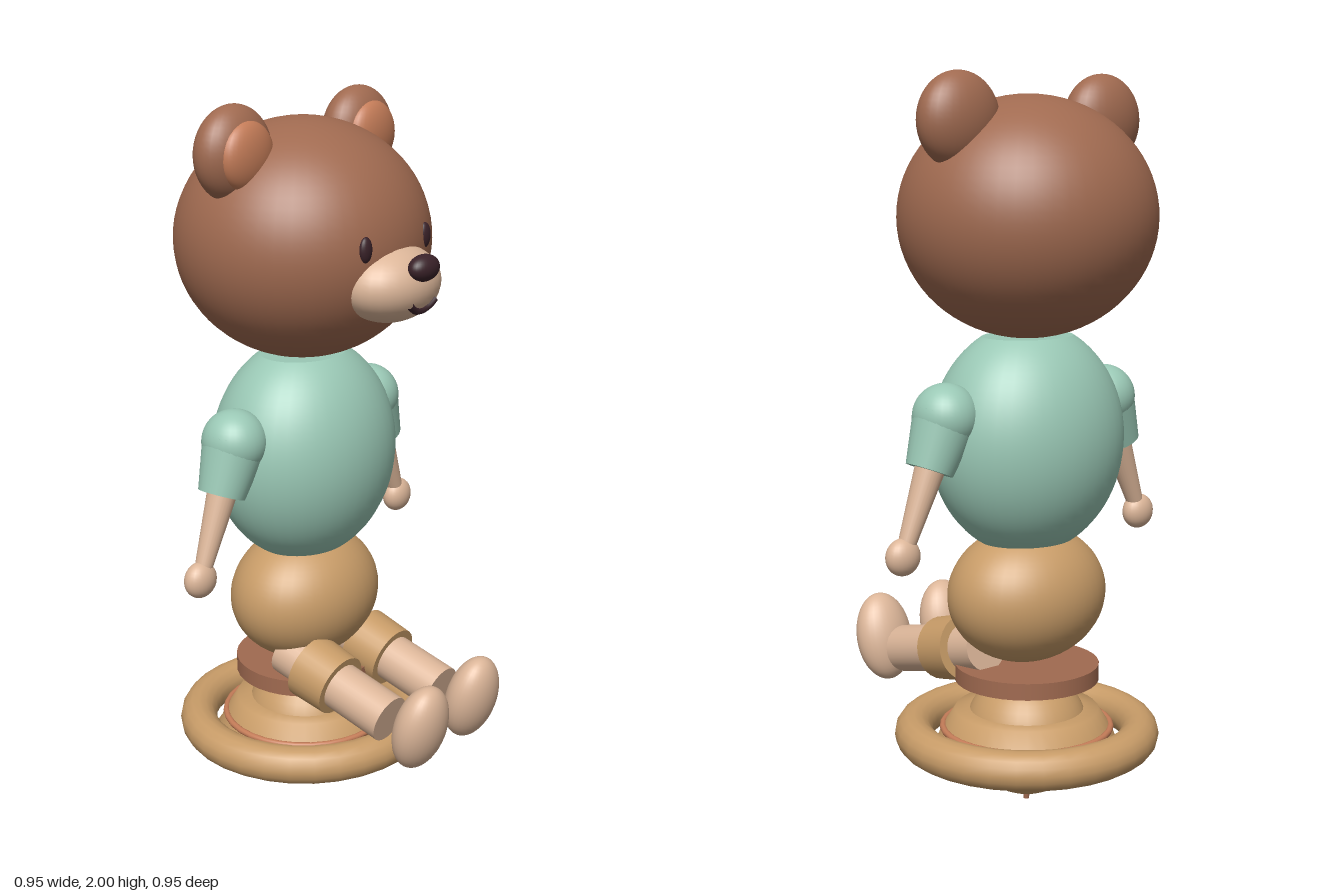
import * as THREE from 'three';
import { mergeGeometries } from 'three/addons/utils/BufferGeometryUtils.js';

const V = (x, y, z) => new THREE.Vector3(x, y, z);
const AXIS_Z = -0.106; // depth of the body's centre line

export function createModel() {
  const paint = (name, color) => {
    const m = new THREE.MeshStandardMaterial({ color });
    m.name = name;
    return m;
  };
  const fur = paint('brown fur', 0xa06a50);
  const innerEarColor = paint('orange', 0xc47c58);
  const skin = paint('pale skin', 0xdcb699);
  const mint = paint('mint shirt', 0x9ac8b5);
  const tan = paint('tan', 0xc89c68);
  const dark = paint('dark features', 0x3a2229);
  const saucerTan = paint('tan saucer', 0xc89c68);
  saucerTan.side = THREE.DoubleSide;

  const model = new THREE.Group();
  model.name = 'seatedBear';

  const add = (name, geometry, material, pos = [0, 0, 0], parent = model) => {
    const mesh = new THREE.Mesh(geometry, material);
    mesh.name = name;
    mesh.position.set(...pos);
    parent.add(mesh);
    return mesh;
  };

  const ellipsoid = (name, material, pos, radii, segments = 32) =>
    add(name, new THREE.SphereGeometry(1, segments, Math.round(segments * 0.75)).scale(...radii), material, pos);

  // Ellipsoid cut flat at the given heights, expressed from -1 to 1
  const cutEllipsoid = (name, material, pos, radii, low, high) => {
    const start = Math.acos(high);
    const parts = [new THREE.SphereGeometry(1, 40, 28, 0, Math.PI * 2, start, Math.acos(low) - start)];
    for (const [h, turn] of [[high, -1], [low, 1]]) {
      if (Math.abs(h) === 1) continue;
      parts.push(new THREE.CircleGeometry(Math.sqrt(1 - h * h), 40).rotateX(turn * Math.PI / 2).translate(0, h, 0));
    }
    return add(name, mergeGeometries(parts).scale(...radii), material, pos);
  };

  // Tapered cylinder between two points
  const limb = (name, material, a, b, ra, rb) => {
    const dir = b.clone().sub(a);
    const mesh = add(name, new THREE.CylinderGeometry(rb, ra, dir.length(), 28), material,
      a.clone().add(b).multiplyScalar(0.5).toArray());
    mesh.quaternion.setFromUnitVectors(V(0, 1, 0), dir.normalize());
    return mesh;
  };

  // Head and body
  ellipsoid('head', fur, [0, 1.625, AXIS_Z], [0.352, 0.32, 0.341], 48);
  cutEllipsoid('shirt', mint, [0, 1.03, AXIS_Z], [0.283, 0.317, 0.236], -0.885, 0.885);
  cutEllipsoid('hips', tan, [0, 0.6, AXIS_Z], [0.235, 0.19, 0.193], -1, 0.816);

  // Face
  ellipsoid('muzzle', skin, [0, 1.547, 0.192], [0.152, 0.102, 0.12]);
  ellipsoid('nose', dark, [0, 1.601, 0.3], [0.052, 0.035, 0.033]);
  const smile = [-1, -0.75, -0.4, 0, 0.4, 0.75, 1].map((t) => {
    const x = t * 0.052;
    const y = 1.488 + 0.024 * t * t;
    const depth = 1 - (x / 0.152) ** 2 - ((y - 1.547) / 0.102) ** 2;
    return V(x, y, 0.192 + 0.12 * Math.sqrt(depth));
  });
  add('mouth', new THREE.TubeGeometry(new THREE.CatmullRomCurve3(smile), 24, 0.01, 8), dark);

  for (const s of [1, -1]) {
    const side = s > 0 ? 'left' : 'right';

    // Eyes and ears
    ellipsoid(side + 'Eye', dark, [s * 0.121, 1.653, 0.208], [0.021, 0.034, 0.014], 20);
    ellipsoid(side + 'Ear', fur, [s * 0.247, 1.876, -0.123], [0.122, 0.124, 0.076]);
    ellipsoid(side + 'InnerEar', innerEarColor, [s * 0.247, 1.873, -0.075], [0.09, 0.09, 0.043]);

    // Arms with short sleeves
    const shoulder = V(s * 0.28, 1.12, AXIS_Z);
    const wrist = V(s * 0.423, 0.768, AXIS_Z);
    const cuff = shoulder.clone().lerp(wrist, 0.385);
    ellipsoid(side + 'Shoulder', mint, shoulder.toArray(), [0.088, 0.088, 0.09]);
    limb(side + 'Sleeve', mint, shoulder, cuff, 0.088, 0.064);
    limb(side + 'Arm', skin, shoulder, wrist, 0.052, 0.021);
    ellipsoid(side + 'Hand', skin, wrist.toArray(), [0.05, 0.05, 0.037], 24);

    // Legs stretched forward, sloping down
    const onLeg = (z) => V(s * 0.117, 0.365 - (z - 0.3) * 0.25, z);
    limb(side + 'Leg', skin, onLeg(-0.07), onLeg(0.3), 0.067, 0.067);
    limb(side + 'ShortsCuff', tan, onLeg(0.015), onLeg(0.125), 0.093, 0.088);
    ellipsoid(side + 'Foot', skin, [s * 0.117, 0.378, 0.405], [0.087, 0.128, 0.065])
      .rotation.x = 0.25;
  }

  // Spinning-top base: seat disc, ball, saucer and outer ring
  const base = new THREE.Group();
  base.name = 'spinningTop';
  base.position.z = AXIS_Z;
  model.add(base);
  const ring = (name, material, radius, tube, y) =>
    add(name, new THREE.TorusGeometry(radius, tube, 16, 32).rotateX(Math.PI / 2), material, [0, y, 0], base);

  add('seat', new THREE.CylinderGeometry(0.2, 0.2, 0.046, 36), fur, [0, 0.378, 0], base);
  add('ball', new THREE.SphereGeometry(0.174, 36, 26), tan, [0, 0.198, 0], base);
  const saucer = [[0.275, 0.138], [0.262, 0.15], [0.24, 0.205], [0.2, 0.268], [0.15, 0.27]];
  add('saucer', new THREE.LatheGeometry(saucer.map((p) => new THREE.Vector2(...p)), 36), saucerTan, [0, 0, 0], base);
  ring('trimRing', innerEarColor, 0.234, 0.009, 0.218);
  ring('outerRing', tan, 0.315, 0.053, 0.203);
  add('tip', new THREE.CylinderGeometry(0.01, 0.008, 0.04, 12), fur, [0, 0.02, 0], base);

  return model;
}
